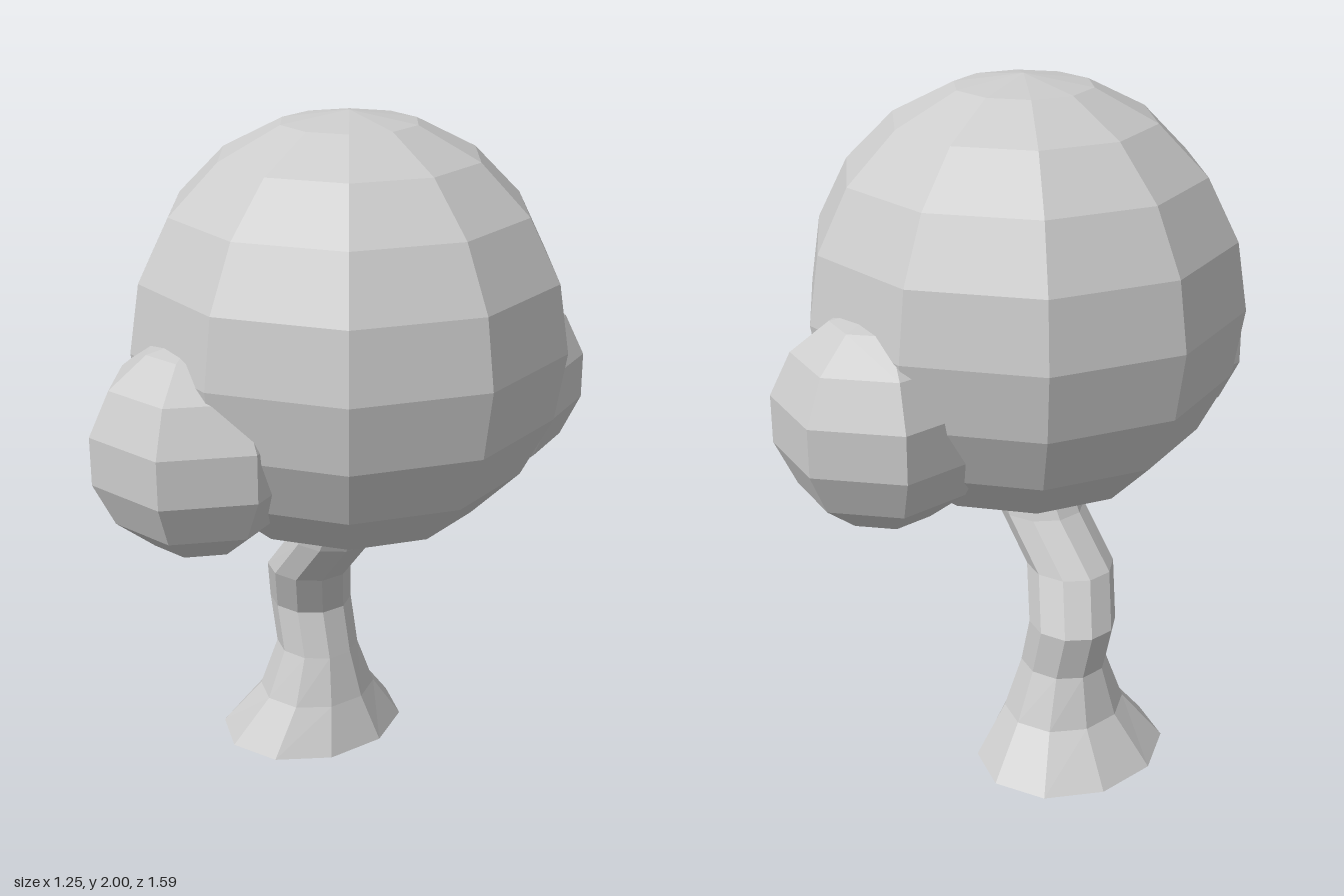
import * as THREE from 'three';

const material = new THREE.MeshStandardMaterial({ color: 0xcccccc, flatShading: true });

// Faceted ball of foliage with a flat underside; cutRows rows are left off the bottom.
function foliage(name, radius, sides, cutRows, x, y, z) {
  const profile = [];
  for (let i = sides - cutRows; i >= 0; i--) {
    const a = (i / sides) * Math.PI;
    profile.push(new THREE.Vector2(i === 0 ? 0 : radius * Math.sin(a), radius * Math.cos(a)));
  }
  profile.unshift(new THREE.Vector2(0, profile[0].y));
  const mesh = new THREE.Mesh(new THREE.LatheGeometry(profile, sides, Math.PI / 2), material);
  mesh.name = name;
  mesh.position.set(x, y, z);
  return mesh;
}

// Crooked trunk lofted through level rings: [y, centre x, centre z, radius x, radius z].
function trunk() {
  const rings = [
    [0, -0.24, -0.025, 0.24, 0.3],
    [0.145, -0.21, -0.025, 0.16, 0.185],
    [0.295, -0.208, -0.025, 0.123, 0.125],
    [0.44, -0.243, -0.025, 0.123, 0.125],
    [0.59, -0.18, 0.023, 0.125, 0.125],
    [0.735, -0.053, 0.023, 0.123, 0.125],
    [0.875, 0.025, 0.023, 0.123, 0.125],
    [0.98, 0.08, 0.023, 0.123, 0.125],
  ];
  const sides = 10;
  const positions = [];
  const index = [];
  rings.forEach(([y, cx, cz, rx, rz], i) => {
    for (let j = 0; j < sides; j++) {
      const a = ((j + 0.5) / sides) * Math.PI * 2;
      positions.push(cx + rx * Math.cos(a) / Math.cos(Math.PI / sides), y, cz + rz * Math.sin(a));
      if (i === rings.length - 1) continue;
      const k = (j + 1) % sides;
      const p = i * sides + j, q = i * sides + k;
      index.push(p, p + sides, q, q, p + sides, q + sides);
    }
  });
  // Closed ends
  const top = (rings.length - 1) * sides;
  for (let j = 1; j < sides - 1; j++) {
    index.push(0, j, j + 1, top, top + j + 1, top + j);
  }
  const geometry = new THREE.BufferGeometry();
  geometry.setAttribute('position', new THREE.Float32BufferAttribute(positions, 3));
  geometry.setIndex(index);
  geometry.computeVertexNormals();
  const mesh = new THREE.Mesh(geometry, material);
  mesh.name = 'trunk';
  return mesh;
}

export function createModel() {
  const tree = new THREE.Group();
  tree.name = 'tree';
  tree.add(
    trunk(),
    foliage('mainCrown', 0.624, 10, 2, 0, 1.376, 0),
    foliage('frontCrown', 0.305, 7, 1, 0, 1.15, 0.505),
    foliage('backCrown', 0.305, 7, 1, 0, 1.15, -0.505)
  );
  return tree;
}
